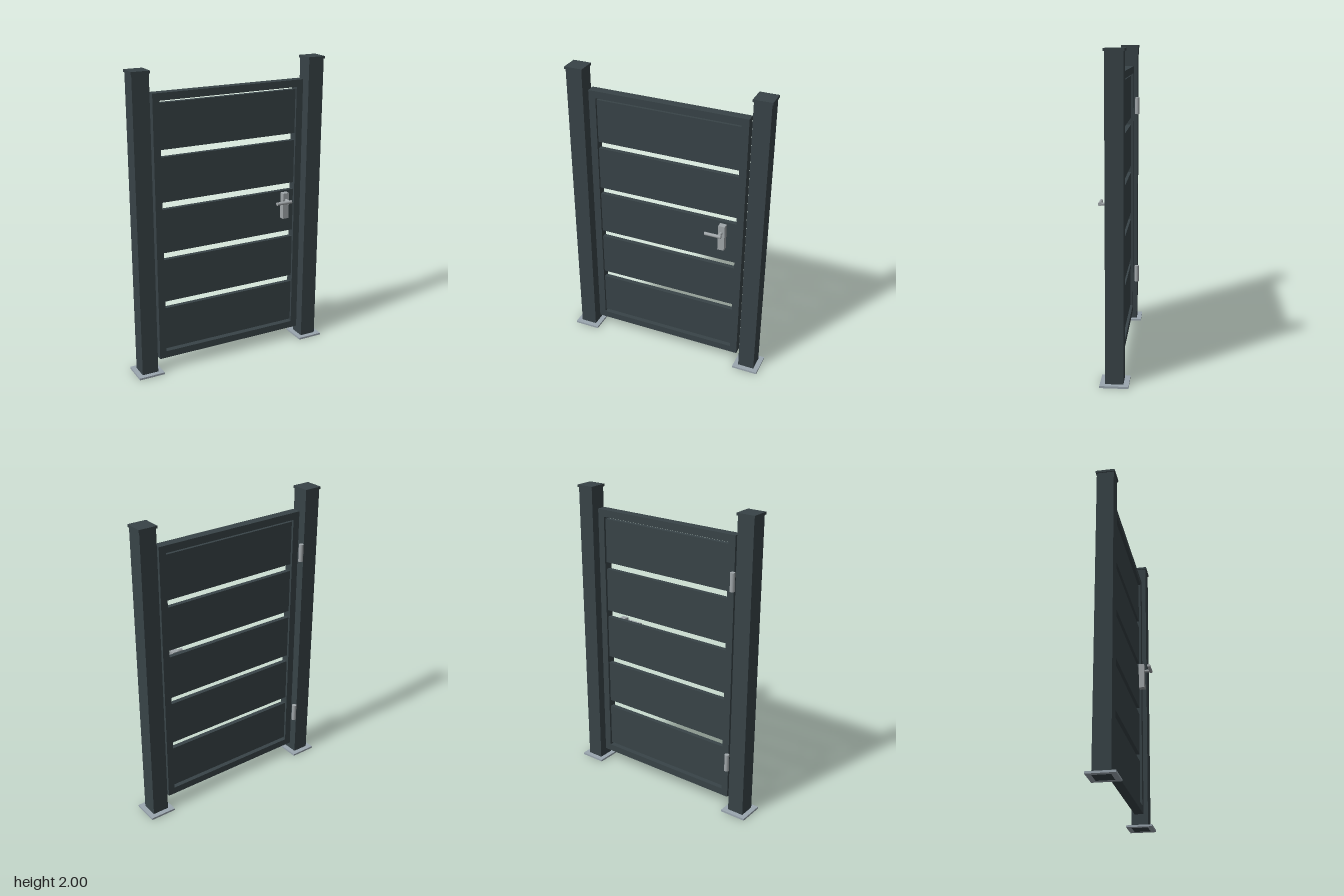
import * as THREE from 'three';

const anthracite = new THREE.MeshStandardMaterial({ name: 'anthracite', color: 0x384347 });
const galvanised = new THREE.MeshStandardMaterial({ name: 'galvanised', color: 0x9aa6af });
const steel = new THREE.MeshStandardMaterial({ name: 'steel', color: 0xa0a6a9 });

const MID = -0.0175; // depth of the gate plane

function add(parent, name, geometry, material, x, y, z) {
  const mesh = new THREE.Mesh(geometry, material);
  mesh.name = name;
  mesh.position.set(x, y, z);
  parent.add(mesh);
  return mesh;
}

const box = (w, h, d) => new THREE.BoxGeometry(w, h, d);

// square ring lying flat, the post passes through its hole
function ringPlate(outer, inner, thickness) {
  const square = (T, s) => new T([
    new THREE.Vector2(-s, -s), new THREE.Vector2(s, -s),
    new THREE.Vector2(s, s), new THREE.Vector2(-s, s)]);
  const shape = square(THREE.Shape, outer / 2);
  shape.holes.push(square(THREE.Path, inner / 2));
  return new THREE.ExtrudeGeometry(shape, { depth: thickness, bevelEnabled: false }).rotateX(-Math.PI / 2);
}

function createPost(side) {
  const post = new THREE.Group();
  post.name = side > 0 ? 'leftPost' : 'rightPost';
  post.position.set(side * 0.61, 0, MID);
  add(post, 'postTube', box(0.11, 1.985, 0.11), anthracite, 0, 0.9925, 0);
  add(post, 'postCap', box(0.122, 0.016, 0.122), anthracite, 0, 1.992, 0);
  add(post, 'basePlate', ringPlate(0.175, 0.11, 0.013), galvanised, 0, 0, 0);
  return post;
}

function createGate() {
  const gate = new THREE.Group();
  gate.name = 'gate';
  const half = 0.528, bottom = 0.085, top = 1.857, bar = 0.047, depth = 0.06;

  // outer frame
  for (const s of [-1, 1]) {
    add(gate, 'frameStile', box(bar, top - bottom, depth), anthracite,
      s * (half - bar / 2), (top + bottom) / 2, MID);
  }
  for (const y of [bottom + bar / 2, top - bar / 2]) {
    add(gate, 'frameRail', box(2 * (half - bar), bar, depth), anthracite, 0, y, MID);
  }

  // horizontal infill panels
  for (let i = 0; i < 5; i++) {
    add(gate, 'panel', box(2 * (half - bar), 0.292, 0.03), anthracite, 0, 0.292 + i * 0.339, MID);
  }

  // hinge barrels behind the hinge side
  for (const y of [0.36, 1.582]) {
    add(gate, 'hinge', new THREE.CylinderGeometry(0.0155, 0.0155, 0.118, 16), steel, -0.533, y, -0.073);
  }
  return gate;
}

function createHandle() {
  const handle = new THREE.Group();
  handle.name = 'handle';
  add(handle, 'lockPlate', box(0.044, 0.177, 0.038), steel, 0.396, 1.022, 0.0315);
  add(handle, 'handleNeck', new THREE.CylinderGeometry(0.01, 0.01, 0.045, 16).rotateX(Math.PI / 2),
    steel, 0.396, 1.062, 0.0715);
  add(handle, 'handleLever', new THREE.CylinderGeometry(0.011, 0.011, 0.111, 16).rotateZ(Math.PI / 2),
    steel, 0.3555, 1.062, 0.094);
  return handle;
}

export function createModel() {
  const model = new THREE.Group();
  model.name = 'gardenGate';
  model.add(createPost(-1), createPost(1), createGate(), createHandle());
  return model;
}
